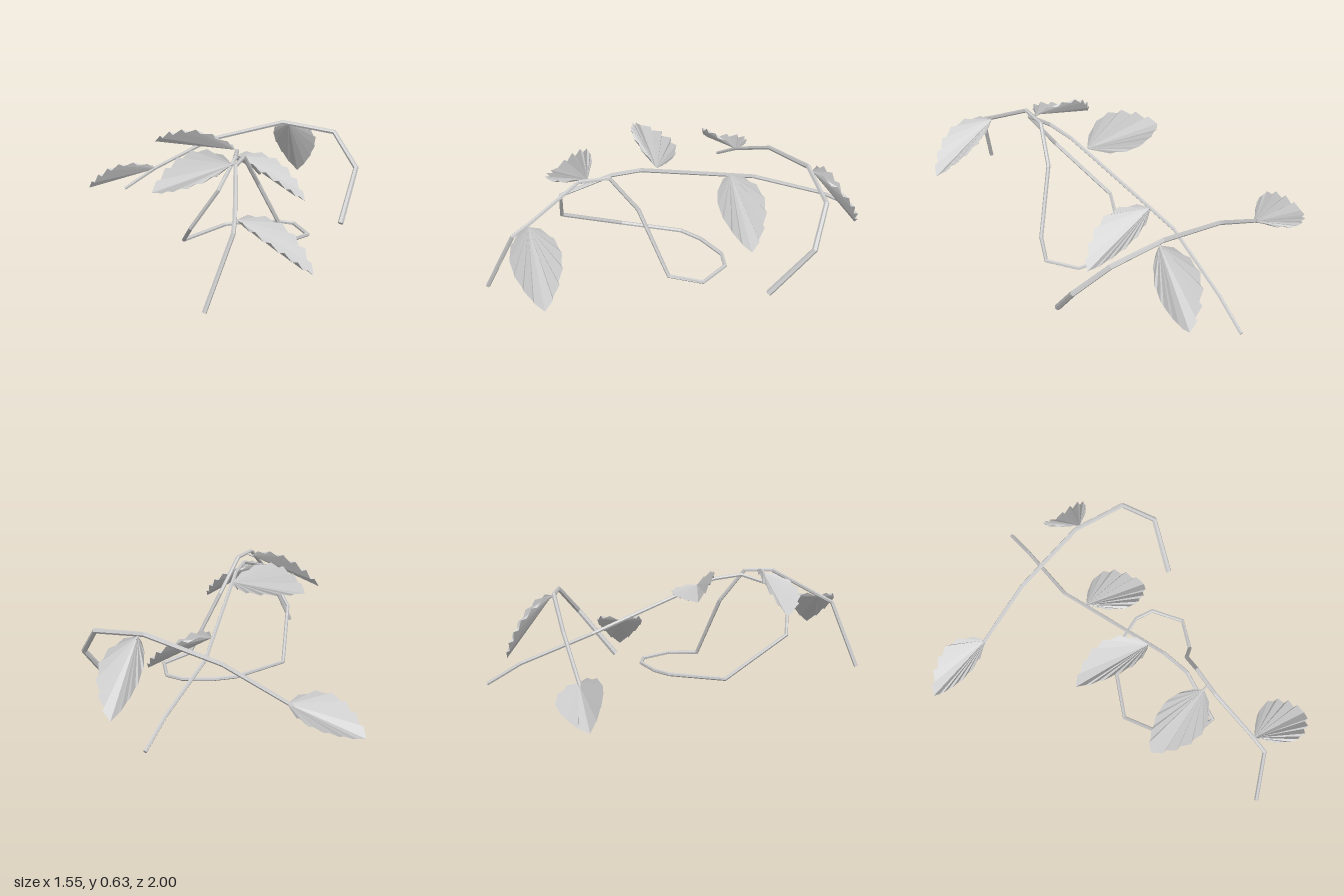
import * as THREE from 'three';

const V = (p) => new THREE.Vector3(...p);

// Polyline path whose rings sit on the corners, mitred between segments
class BentPath extends THREE.Curve {
  constructor(points) {
    super();
    this.points = points;
  }
  index(t) {
    return Math.round(t * (this.points.length - 1));
  }
  getPointAt(t, target = new THREE.Vector3()) {
    return target.copy(this.points[this.index(t)]);
  }
  getTangentAt(t, target = new THREE.Vector3()) {
    const i = this.index(t), p = this.points, last = p.length - 1;
    const a = new THREE.Vector3(), b = new THREE.Vector3();
    if (i > 0) a.subVectors(p[i], p[i - 1]).normalize();
    if (i < last) b.subVectors(p[i + 1], p[i]).normalize();
    return target.addVectors(a, b).normalize();
  }
}

const SIDES = 6;

// Faceted stem, tapering from r0 to r1, with closed ends
function makeStem(name, coords, r0, r1, material) {
  const group = new THREE.Group();
  group.name = name;
  const points = coords.map(V), n = points.length - 1;
  const path = new BentPath(points);
  const tube = new THREE.TubeGeometry(path, n, 1, SIDES, false);
  const pos = tube.attributes.position, v = new THREE.Vector3();
  for (let k = 0; k < pos.count; k++) {
    const i = Math.floor(k / (SIDES + 1));
    v.fromBufferAttribute(pos, k).sub(points[i]);
    v.multiplyScalar(r0 + (r1 - r0) * i / n).add(points[i]);
    pos.setXYZ(k, v.x, v.y, v.z);
  }
  tube.computeVertexNormals();
  const mesh = new THREE.Mesh(tube, material);
  mesh.name = name + 'Tube';
  group.add(mesh);
  for (const [t, r, sign] of [[0, r0, -1], [1, r1, 1]]) {
    const cap = new THREE.Mesh(new THREE.CircleGeometry(r, SIDES), material);
    cap.name = name + 'End';
    cap.position.copy(path.getPointAt(t));
    cap.quaternion.setFromUnitVectors(new THREE.Vector3(0, 0, 1),
      path.getTangentAt(t).multiplyScalar(sign));
    group.add(cap);
  }
  return group;
}

// Half of the toothed leaf edge, base to tip: [along, across, pleat]
const HALF_EDGE = [
  [0.03, 0.16, 0], [0.07, 0.42, 1], [0.19, 0.72, -1], [0.23, 0.83, 1],
  [0.36, 0.95, -1], [0.42, 1.0, 1], [0.55, 0.91, -1], [0.60, 0.92, 1],
  [0.72, 0.68, -1], [0.77, 0.68, 1], [0.87, 0.38, -1], [0.91, 0.36, 0.5],
];

// Pleated leaf, folded up along its midrib and fanned out from the stalk
function makeLeaf(name, base, tip, sideHint, material) {
  const width = 0.123, fold = Math.tan(THREE.MathUtils.degToRad(25)), pleat = 0.008;
  const start = V(base), dir = V(tip).sub(start), length = dir.length();
  dir.normalize();
  const up = V(sideHint).cross(dir).normalize();
  if (up.y < 0) up.negate();
  const side = new THREE.Vector3().crossVectors(dir, up);

  const edgePoint = ([u, w, p], s) =>
    [u * length, w * width * fold + p * pleat, s * w * width];
  const edge = [
    ...HALF_EDGE.map((e) => edgePoint(e, 1)),
    [length, 0, 0],
    ...[...HALF_EDGE].reverse().map((e) => edgePoint(e, -1)),
  ];
  const tri = [];
  for (let i = 0; i < edge.length - 1; i++) tri.push(0, 0, 0, ...edge[i], ...edge[i + 1]);
  const geo = new THREE.BufferGeometry();
  geo.setAttribute('position', new THREE.Float32BufferAttribute(tri, 3));
  geo.applyMatrix4(new THREE.Matrix4().makeBasis(dir, up, side).setPosition(start));
  geo.computeVertexNormals();
  const leaf = new THREE.Mesh(geo, material);
  leaf.name = name;
  return leaf;
}

export function createModel() {
  const model = new THREE.Group();
  model.name = 'leafyVine';
  const stemMat = new THREE.MeshStandardMaterial({ color: 0xcccccc, flatShading: true });
  const leafMat = new THREE.MeshStandardMaterial({
    color: 0xcccccc, flatShading: true, side: THREE.DoubleSide,
  });

  // Short vine arching across the back
  model.add(makeStem('archingVine', [
    [0.69, 0, -0.34], [0.725, 0.25, -0.55], [0.58, 0.41, -0.65], [0.29, 0.44, -0.655],
    [-0.1, 0.33, -0.58], [-0.4, 0.16, -0.49], [-0.565, 0.04, -0.43],
  ], 0.016, 0.009, stemMat));

  // Long vine that rises, loops over the ground and comes forward
  model.add(makeStem('loopingVine', [
    [0.075, 0.01, -1], [0.075, 0.12, -0.82], [0.075, 0.28, -0.44], [0.13, 0.355, -0.25],
    [0.26, 0.53, 0.2], [0.293, 0.545, 0.35], [0.28, 0.46, 0.6], [0.14, 0.25, 0.58],
    [0, 0.05, 0.25], [0.13, 0.04, -0.04], [0.22, 0.037, -0.12], [0.37, 0.035, -0.19],
    [0.47, 0.035, -0.18], [0.575, 0.037, -0.04], [0.51, 0.055, 0.12], [0.38, 0.385, 0.24],
    [0.34, 0.56, 0.37], [0.34, 0.56, 0.52], [0.41, 0.405, 0.78], [0.425, 0.36, 0.86],
    [0.33, 0.02, 0.99],
  ], 0.01, 0.011, stemMat));

  // Leaves: name, stalk end, tip, direction across the blade
  const leaves = [
    ['endLeaf', [-0.4, 0.155, -0.49], [-0.78, 0.025, -0.42], [0, 0.34, 0.94]],
    ['backLeaf', [0.32, 0.43, -0.665], [0.32, 0.08, -0.92], [1, 0, 0]],
    ['lowerLeaf', [0.12, 0.34, -0.3], [0.5, 0.115, -0.31], [0, 0, 1]],
    ['middleLeaf', [0.225, 0.505, 0.11], [-0.2, 0.508, 0.1], [0, 0.42, 0.91]],
    ['upperLeaf', [0.31, 0.55, 0.47], [-0.06, 0.4, 0.56], [0, -0.48, 0.88]],
    ['frontLeaf', [0.415, 0.395, 0.78], [0.775, 0.165, 0.77], [0, 0, 1]],
  ];
  for (const [name, base, tip, side] of leaves) {
    model.add(makeLeaf(name, base, tip, side, leafMat));
  }

  // Small stalks joining leaves to the vines
  model.add(makeStem('upperStalk', [[0.34, 0.56, 0.465], [0.30, 0.546, 0.472]], 0.006, 0.005, stemMat));
  model.add(makeStem('backStalk', [[0.32, 0.437, -0.655], [0.32, 0.415, -0.677]], 0.006, 0.005, stemMat));
  return model;
}
